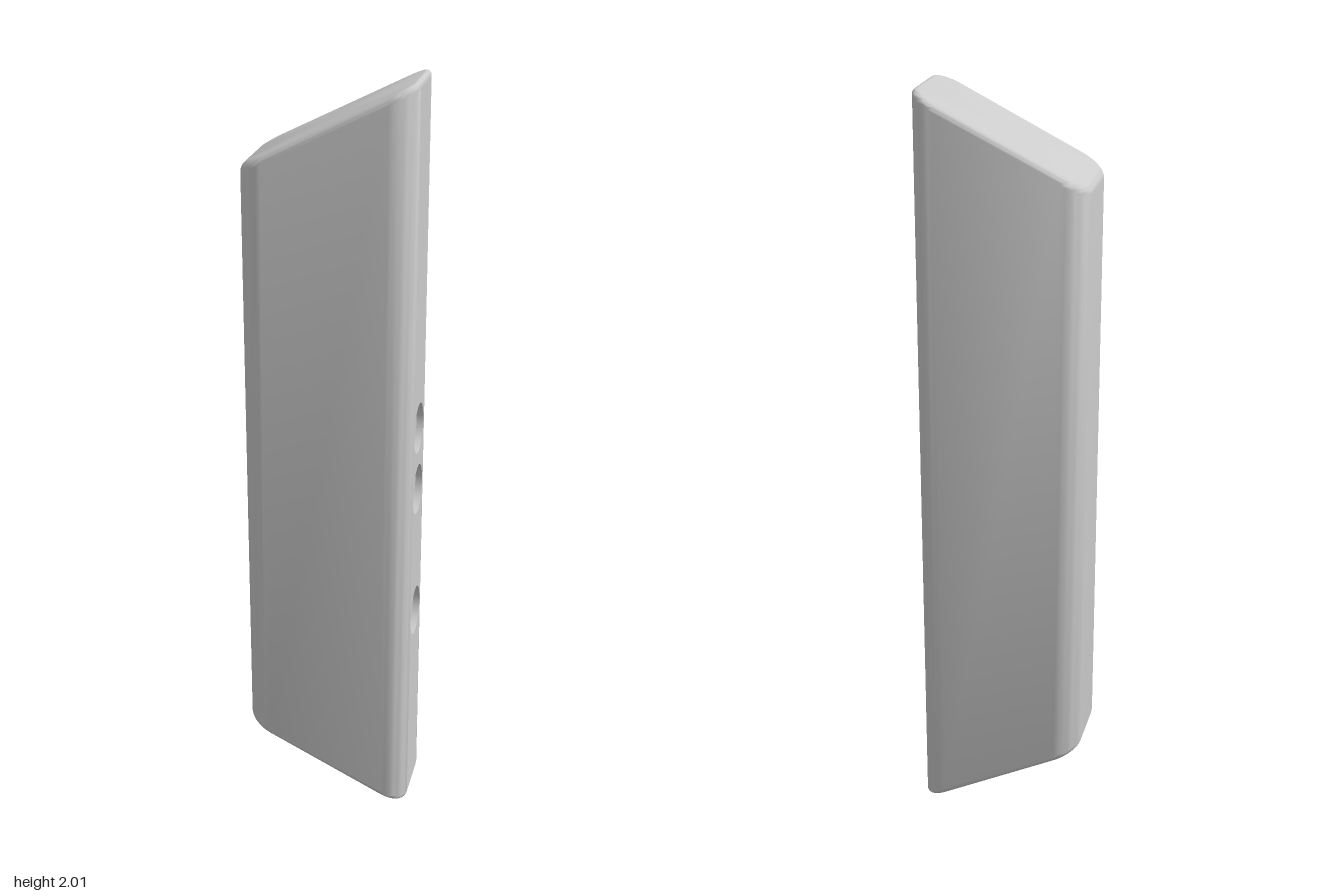
import * as THREE from 'three';
import { toCreasedNormals } from 'three/addons/utils/BufferGeometryUtils.js';

const HX = 0.222, HZ = 0.137, R = 0.065; // plan half sizes and corner radius
const BEVEL = 0.02, STEPS = 6, CORNER = 8;
const FLAT = HZ - R;
const HOLE_R = 0.067, HOLE_DEPTH = 0.018;

// Rounded rectangle in plan, inset by d; the last-to-first segment is the flat +x side
function outline(d) {
  const pts = [];
  for (let k = 0; k < 4; k++) {
    const sx = k === 0 || k === 3 ? 1 : -1, sz = k < 2 ? 1 : -1;
    for (let i = 0; i <= CORNER; i++) {
      const a = (k + i / CORNER) * Math.PI / 2;
      pts.push([sx * (HX - R) + (R - d) * Math.cos(a), sz * (HZ - R) + (R - d) * Math.sin(a)]);
    }
  }
  return pts;
}

// Column with rounded edges and both ends cut on a slant
function shellGeometry() {
  const pos = [], idx = [], n = 4 * (CORNER + 1);
  const addRing = (t, top) => {
    for (const [x, z] of outline(BEVEL * (1 - Math.cos(t)))) {
      const y = 1.9 + 0.5 * x - BEVEL * (1 - Math.sin(t));
      pos.push(x, top ? y : 2 - y, z);
    }
  };
  for (let i = STEPS; i >= 0; i--) addRing(i / STEPS * Math.PI / 2, false);
  for (let i = 0; i <= STEPS; i++) addRing(i / STEPS * Math.PI / 2, true);
  const rings = 2 * (STEPS + 1);
  for (let i = 0; i < rings - 1; i++) {
    for (let j = 0; j < n; j++) {
      if (i === STEPS && j === n - 1) continue; // gap for the drilled panel
      const a = i * n + j, b = i * n + (j + 1) % n;
      idx.push(a, a + n, b, b, a + n, b + n);
    }
  }
  // slanted end faces
  const low = pos.length / 3, high = low + 1, last = (rings - 1) * n;
  pos.push(0, 0.1, 0, 0, 1.9, 0);
  for (let j = 0; j < n; j++) {
    const k = (j + 1) % n;
    idx.push(low, j, k, high, last + k, last + j);
  }
  const g = new THREE.BufferGeometry();
  g.setAttribute('position', new THREE.Float32BufferAttribute(pos, 3));
  g.setIndex(idx);
  return toCreasedNormals(g, 0.75);
}

export function createModel() {
  const group = new THREE.Group();
  const material = new THREE.MeshStandardMaterial({ color: 0xcccccc });
  const inner = new THREE.MeshStandardMaterial({ color: 0xcccccc, side: THREE.DoubleSide });
  const add = (name, geometry, mat = material) => {
    const mesh = new THREE.Mesh(geometry, mat);
    mesh.name = name;
    group.add(mesh);
    return mesh;
  };

  add('body', shellGeometry());

  // Flat side panel with three round openings
  const top = 1.9 + 0.5 * HX - BEVEL, bottom = 2 - top;
  const panel = new THREE.Shape([
    new THREE.Vector2(-FLAT, bottom), new THREE.Vector2(FLAT, bottom),
    new THREE.Vector2(FLAT, top), new THREE.Vector2(-FLAT, top),
  ]);
  const heights = [0.55, 0.915, 1.09];
  for (const y of heights) {
    panel.holes.push(new THREE.Path().absarc(0, y, HOLE_R, 0, Math.PI * 2, true));
  }
  add('sidePanel', new THREE.ShapeGeometry(panel, 24).rotateY(Math.PI / 2)).position.x = HX;

  // Shallow round recesses
  for (const y of heights) {
    const wall = new THREE.CylinderGeometry(HOLE_R, HOLE_R, HOLE_DEPTH, 48, 1, true).rotateZ(Math.PI / 2);
    add('recessWall', wall, inner).position.set(HX - HOLE_DEPTH / 2, y, 0);
    const floor = new THREE.CircleGeometry(HOLE_R, 48).rotateY(Math.PI / 2);
    add('recessFloor', floor).position.set(HX - HOLE_DEPTH, y, 0);
  }
  return group;
}
